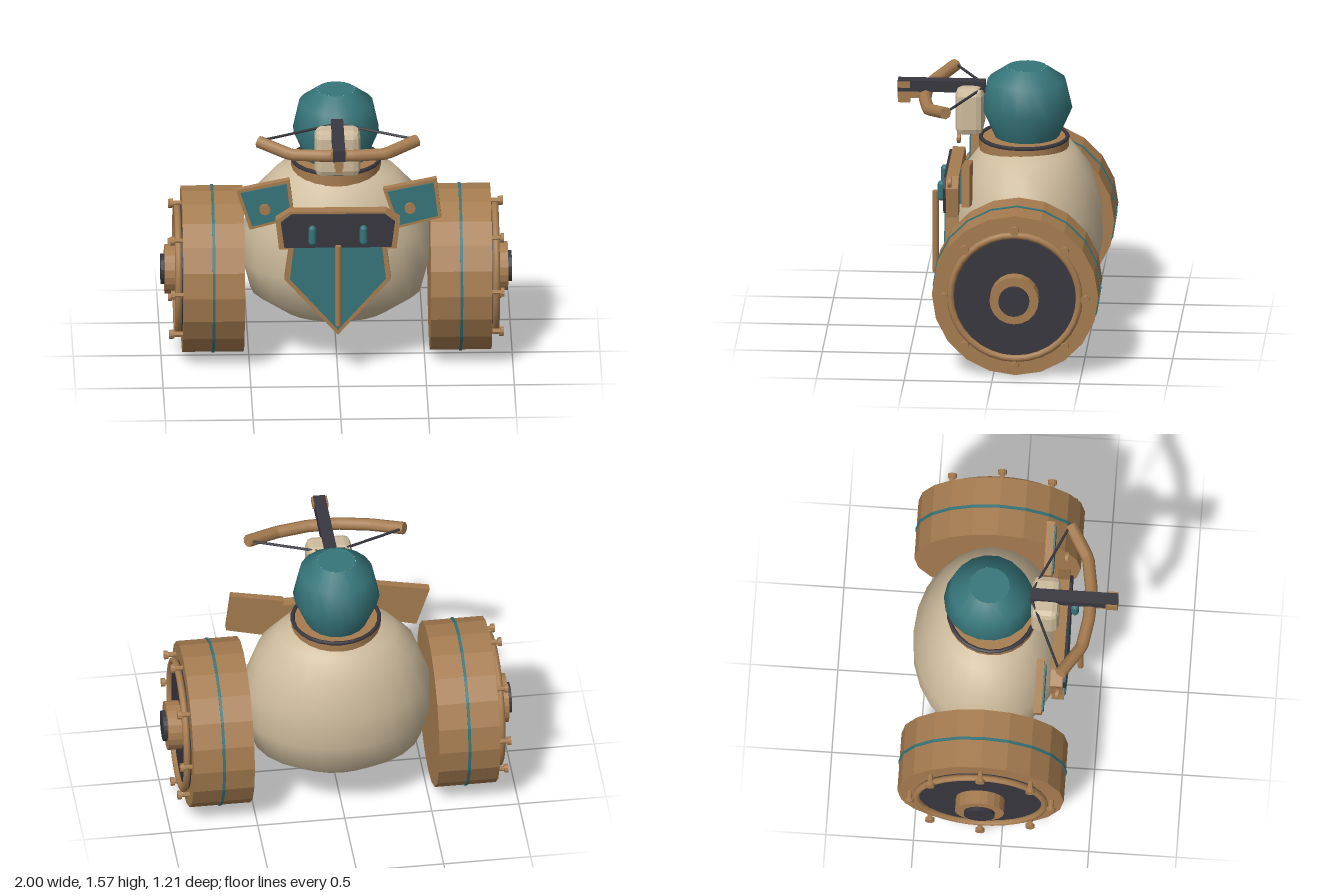
import * as THREE from 'three';
import { RoundedBoxGeometry } from 'three/addons/geometries/RoundedBoxGeometry.js';

const mat = (name, color) => {
  const m = new THREE.MeshStandardMaterial({ color });
  m.name = name;
  return m;
};

// Faceted normals
function flat(g) {
  const f = g.index ? g.toNonIndexed() : g;
  f.computeVertexNormals();
  return f;
}

export function createModel() {
  const brown = mat('bronze', 0xa67c50);
  const teal = mat('teal', 0x36757a);
  const beige = mat('ivory', 0xcdbb9c);
  const dark = mat('charcoal', 0x39373f);
  const root = new THREE.Group();
  root.name = 'wheeledRobot';

  const add = (name, geo, m, x = 0, y = 0, z = 0, parent = root) => {
    const mesh = new THREE.Mesh(geo, m);
    mesh.name = name;
    mesh.position.set(x, y, z);
    parent.add(mesh);
    return mesh;
  };
  const box = (name, m, x0, x1, y0, y1, z0, z1, parent = root) =>
    add(name, new THREE.BoxGeometry(x1 - x0, y1 - y0, z1 - z0), m,
      (x0 + x1) / 2, (y0 + y1) / 2, (z0 + z1) / 2, parent);
  const vecs = (pts) => pts.map(([x, y]) => new THREE.Vector2(x, y));
  // Flat plate cut from an outline, between two depths
  const plate = (name, m, pts, z0, z1, parent = root) =>
    add(name, new THREE.ExtrudeGeometry(new THREE.Shape(vecs(pts)),
      { depth: z1 - z0, bevelEnabled: false }), m, 0, 0, z0, parent);
  const mirror = (half) => [...half, ...half.filter(([x]) => x > 0).reverse().map(([x, y]) => [-x, y])];
  // Cylinder lying along x from x0 to x1
  const axle = (name, m, r, x0, x1, seg, parent, y = 0, z = 0) =>
    add(name, flat(new THREE.CylinderGeometry(r, r, x1 - x0, seg).rotateZ(-Math.PI / 2)),
      m, (x0 + x1) / 2, y, z, parent);

  // Body: egg-shaped shell with a flat underside
  const body = new THREE.Group();
  body.name = 'body';
  body.position.z = -0.14;
  body.scale.x = 1.25;
  root.add(body);
  const shell = vecs([[0.24, 0.24], [0.39, 0.365], [0.429, 0.55], [0.427, 0.746],
    [0.365, 0.962], [0.272, 1.087], [0.18, 1.125]]);
  add('bodyShell', new THREE.LatheGeometry(shell, 24), beige, 0, 0, 0, body);
  add('bodyBase', new THREE.CircleGeometry(0.24, 24).rotateX(Math.PI / 2), beige, 0, 0.24, 0, body);

  // Neck collar
  add('collar', new THREE.CylinderGeometry(0.255, 0.255, 0.13, 24), brown, 0, 1.09, -0.12);
  add('collarRing', new THREE.TorusGeometry(0.248, 0.012, 6, 24).rotateX(Math.PI / 2), dark, 0, 1.157, -0.12);

  // Head: faceted dome with flat crown
  const head = new THREE.Group();
  head.name = 'head';
  head.position.z = -0.135;
  head.scale.x = 0.95;
  root.add(head);
  const dome = vecs([[0.185, 1.165], [0.26, 1.335], [0.222, 1.5], [0.115, 1.575]]);
  add('headShell', new THREE.LatheGeometry(dome, 18), teal, 0, 0, 0, head);
  add('headCrown', new THREE.CircleGeometry(0.115, 18).rotateX(-Math.PI / 2), teal, 0, 1.575, 0, head);
  add('headBase', new THREE.CircleGeometry(0.185, 18).rotateX(Math.PI / 2), teal, 0, 1.165, 0, head);

  // Chamfered snout block
  add('snout', flat(new RoundedBoxGeometry(0.26, 0.275, 0.16, 1, 0.04)), beige, 0, 1.325, 0.187);

  // Crossbow on the snout
  const bow = new THREE.Group();
  bow.name = 'crossbow';
  root.add(bow);
  box('stock', dark, -0.035, 0.035, 1.42, 1.485, 0.1, 0.6, bow);
  box('stockUnderside', brown, -0.026, 0.026, 1.38, 1.42, 0.41, 0.6, bow);
  box('muzzleBand', brown, -0.045, 0.045, 1.445, 1.48, 0.53, 0.598, bow);
  box('muzzleFoot', brown, -0.02, 0.02, 1.35, 1.38, 0.53, 0.6, bow);
  const limbs = [[-0.45, 1.43, 0.3], [-0.27, 1.392, 0.41], [-0.09, 1.395, 0.44],
    [0.09, 1.395, 0.44], [0.27, 1.392, 0.41], [0.45, 1.43, 0.3]].map((p) => new THREE.Vector3(...p));
  const path = new THREE.CurvePath();
  for (let i = 1; i < limbs.length; i++) path.add(new THREE.LineCurve3(limbs[i - 1], limbs[i]));
  add('bowLimbs', new THREE.TubeGeometry(path, 30, 0.036, 8), brown, 0, 0, 0, bow);
  for (const s of [-1, 1]) {
    const end = limbs[s < 0 ? 0 : 5];
    const inner = limbs[s < 0 ? 1 : 4];
    const cap = add('limbTip', new THREE.CircleGeometry(0.036, 8), brown, end.x, end.y, end.z, bow);
    cap.lookAt(end.clone().multiplyScalar(2).sub(inner));
    const string = new THREE.LineCurve3(
      new THREE.Vector3(s * 0.42, 1.435, 0.285), new THREE.Vector3(s * 0.03, 1.452, 0.11));
    add('bowString', new THREE.TubeGeometry(string, 1, 0.008, 6), dark, 0, 0, 0, bow);
  }

  // Shoulder plates, both tilted the same way
  const tilt = [[-0.577, 1.09], [-0.272, 1.153], [-0.244, 0.915], [-0.5, 0.85]];
  const inset = tilt.map(([x, y]) => [-0.398 + (x + 0.398) * 0.86, 1.003 + (y - 1.003) * 0.85]);
  for (const [side, dx, stud] of [['right', 0, -0.415], ['left', 0.837, 0.412]]) {
    const g = new THREE.Group();
    g.name = side + 'ShoulderPlate';
    root.add(g);
    plate('plateFrame', brown, tilt.map(([x, y]) => [x + dx, y]), 0.155, 0.2, g);
    plate('platePanel', teal, inset.map(([x, y]) => [x + dx, y]), 0.2, 0.209, g);
    add('plateStud', new THREE.CylinderGeometry(0.032, 0.032, 0.02, 12).rotateX(Math.PI / 2),
      brown, stud, 1.005, 0.28, g);
  }

  // Chest bib: shield below, dark panel above
  plate('shieldFrame', brown, mirror([[0, 0.245], [0.303, 0.585], [0.275, 0.8]]), 0.24, 0.31);
  plate('shieldPanel', teal, mirror([[0, 0.278], [0.273, 0.59], [0.25, 0.8]]), 0.31, 0.319);
  plate('chestFrame', brown, mirror([[0.335, 0.768], [0.355, 0.945], [0.275, 0.998]]), 0.235, 0.305);
  plate('chestPanel', dark, mirror([[0.305, 0.785], [0.325, 0.937], [0.265, 0.985]]), 0.305, 0.322);
  add('shieldRod', new THREE.CylinderGeometry(0.018, 0.018, 0.485, 8), brown, 0, 0.577, 0.385);
  for (const s of [-1, 1])
    add('chestLamp', new THREE.CapsuleGeometry(0.023, 0.075, 3, 10), teal, s * 0.146, 0.868, 0.343);

  // Wheels, built along +x and turned round for the other side
  for (const [side, turn] of [['left', 0], ['right', Math.PI]]) {
    const w = new THREE.Group();
    w.name = side + 'Wheel';
    w.position.set(0, 0.485, -0.125);
    w.rotation.y = turn;
    root.add(w);
    axle('drum', brown, 0.475, 0.53, 0.88, 20, w);
    axle('treadBand', teal, 0.481, 0.697, 0.713, 20, w);
    axle('wheelDisc', dark, 0.37, 0.88, 0.898, 32, w);
    add('discRim', new THREE.TorusGeometry(0.368, 0.02, 8, 32).rotateY(Math.PI / 2), brown, 0.905, 0, 0, w);
    axle('hub', brown, 0.14, 0.89, 0.978, 20, w);
    axle('hubCap', dark, 0.088, 0.97, 1.0, 20, w);
    for (let i = 0; i < 8; i++) {
      const a = (i * Math.PI) / 4;
      const y = 0.404 * Math.cos(a), z = 0.404 * Math.sin(a);
      axle('boltStem', brown, 0.014, 0.88, 0.93, 8, w, y, z);
      axle('boltHead', brown, 0.026, 0.928, 0.95, 10, w, y, z);
    }
  }
  return root;
}
